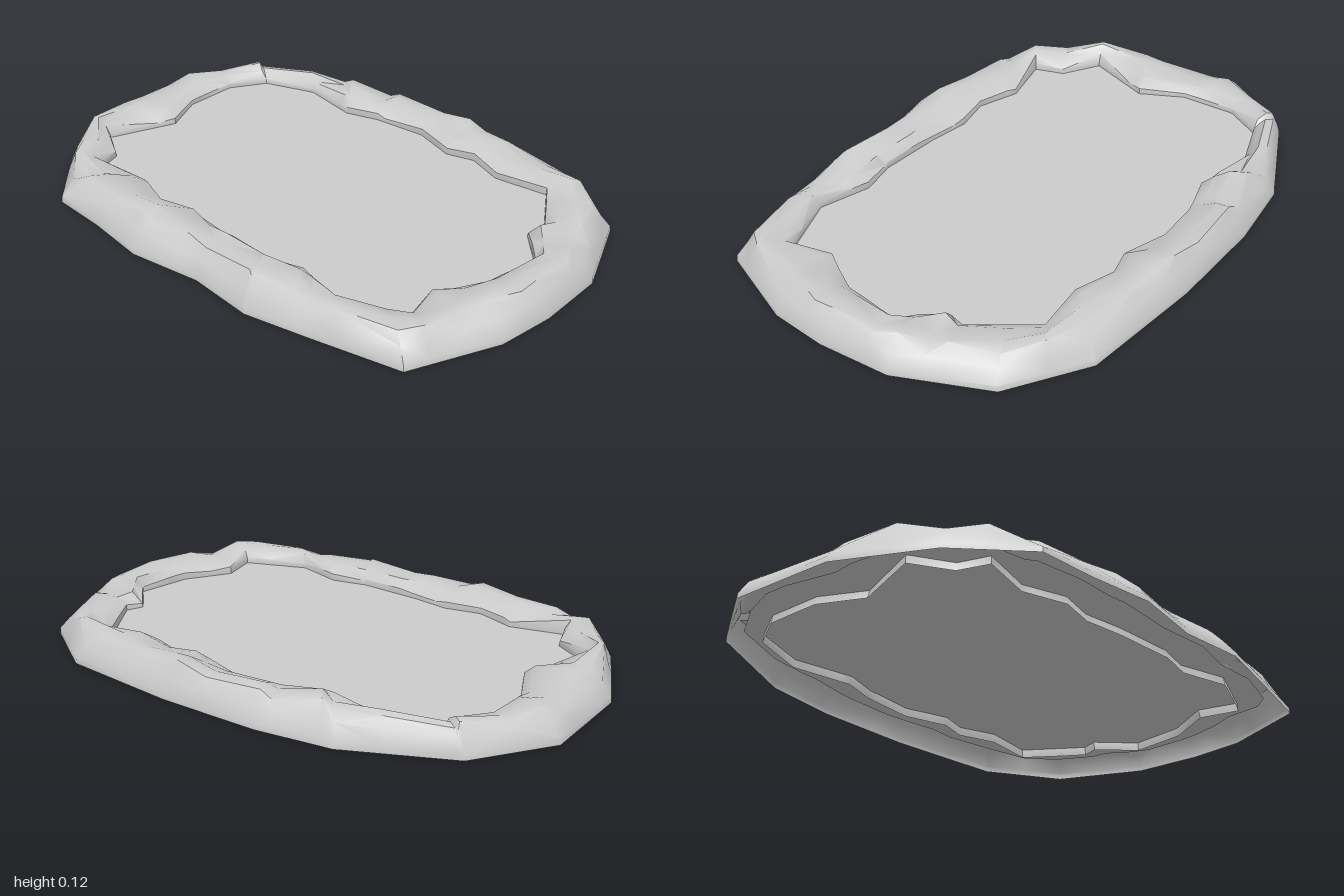
import * as THREE from 'three';
import { toCreasedNormals } from 'three/addons/utils/BufferGeometryUtils.js';

// Outlines as [x, z], running from +x towards +z
const OUTER = [
  [1, 0.05], [0.985, 0.25], [0.87, 0.55], [0.57, 0.62], [0.34, 0.67], [0.1, 0.65],
  [-0.16, 0.69], [-0.4, 0.66], [-0.6, 0.65], [-0.81, 0.45], [-0.97, 0.15], [-1, -0.22],
  [-0.84, -0.48], [-0.5, -0.65], [-0.23, -0.69], [0.14, -0.695], [0.58, -0.66],
  [0.84, -0.5], [0.98, -0.2],
];
const INNER = [
  [0.81, 0.1], [0.72, 0.26], [0.76, 0.4], [0.54, 0.49], [0.36, 0.44], [0.23, 0.47],
  [0, 0.46], [-0.15, 0.44], [-0.28, 0.47], [-0.43, 0.42], [-0.62, 0.47], [-0.66, 0.36],
  [-0.79, 0.29], [-0.71, 0.05], [-0.79, -0.1], [-0.8, -0.3], [-0.73, -0.43],
  [-0.54, -0.5], [-0.32, -0.46], [-0.2, -0.5], [0, -0.52], [0.16, -0.47], [0.26, -0.5],
  [0.4, -0.45], [0.59, -0.48], [0.73, -0.28], [0.71, -0.22], [0.83, -0.1],
];
const WATER_Y = 0.047;

function seeded(seed) {
  return () => {
    seed = (seed * 16807) % 2147483647;
    return seed / 2147483647;
  };
}

// Distance from the centre to an outline in direction t
function radiusAt(outline, t) {
  const dx = Math.cos(t), dz = Math.sin(t);
  let best = 0;
  outline.forEach(([ax, az], i) => {
    const [bx, bz] = outline[(i + 1) % outline.length];
    const ex = bx - ax, ez = bz - az;
    const det = dx * ez - dz * ex;
    if (Math.abs(det) < 1e-9) return;
    const r = (ax * ez - az * ex) / det;
    const u = (ax * dz - az * dx) / det;
    if (r > 0 && u >= -1e-6 && u <= 1 + 1e-6) best = Math.max(best, r);
  });
  return best;
}

// One column of the rim at every corner of either outline
const angles = [...OUTER, ...INNER]
  .map(([x, z]) => Math.atan2(z, x))
  .sort((a, b) => a - b)
  .filter((t, i, all) => i === 0 || t - all[i - 1] > 0.01);

// Cross-section at one angle: [share of the way inwards, height]
function rimSection(i, rand) {
  const crest = i % 2 ? 0.1 + 0.02 * rand() : 0.082 + 0.032 * rand();
  return [
    [0, 0],
    [0.01, 0.02],
    [0.12 + 0.06 * rand(), 0.055 + 0.015 * rand()],
    [0.28 + 0.1 * rand(), crest - 0.008 * rand()],
    [0.48 + 0.14 * rand(), crest],
    [0.78 + 0.08 * rand(), 0.08 + 0.02 * rand()],
    [0.99, 0.06 + 0.014 * rand()],
    [1, WATER_Y],
    [0.97, 0.018],
  ];
}

function rimGeometry() {
  const rand = seeded(4711);
  const positions = [], index = [];
  const n = angles.length;
  let rows = 0;
  angles.forEach((t, i) => {
    const ro = radiusAt(OUTER, t), ri = radiusAt(INNER, t);
    const section = rimSection(i, rand);
    rows = section.length;
    for (const [k, y] of section) {
      const r = ro + (ri - ro) * k;
      positions.push(r * Math.cos(t), y, r * Math.sin(t));
    }
  });
  for (let i = 0; i < n; i++) {
    const a = i * rows, b = ((i + 1) % n) * rows;
    for (let j = 0; j < rows - 1; j++) {
      // alternate diagonals for a chipped look
      if ((i + j) % 2) index.push(a + j, a + j + 1, b + j, b + j, a + j + 1, b + j + 1);
      else index.push(a + j, a + j + 1, b + j + 1, a + j, b + j + 1, b + j);
    }
  }
  const geo = new THREE.BufferGeometry();
  geo.setAttribute('position', new THREE.Float32BufferAttribute(positions, 3));
  geo.setIndex(index);
  return toCreasedNormals(geo, 0.7);
}

// Flat sheet reaching under the rim
function waterGeometry() {
  const points = angles.map((t) => {
    const r = 0.45 * radiusAt(INNER, t) + 0.55 * radiusAt(OUTER, t);
    return new THREE.Vector2(r * Math.cos(t), -r * Math.sin(t));
  });
  return new THREE.ShapeGeometry(new THREE.Shape(points)).rotateX(-Math.PI / 2);
}

export function createModel() {
  const group = new THREE.Group();
  group.name = 'pond';
  const material = new THREE.MeshStandardMaterial({ color: 0xcccccc, side: THREE.DoubleSide });

  const rim = new THREE.Mesh(rimGeometry(), material);
  rim.name = 'rockRim';

  const water = new THREE.Mesh(waterGeometry(), material);
  water.name = 'waterSurface';
  water.position.y = WATER_Y;

  group.add(rim, water);
  return group;
}
